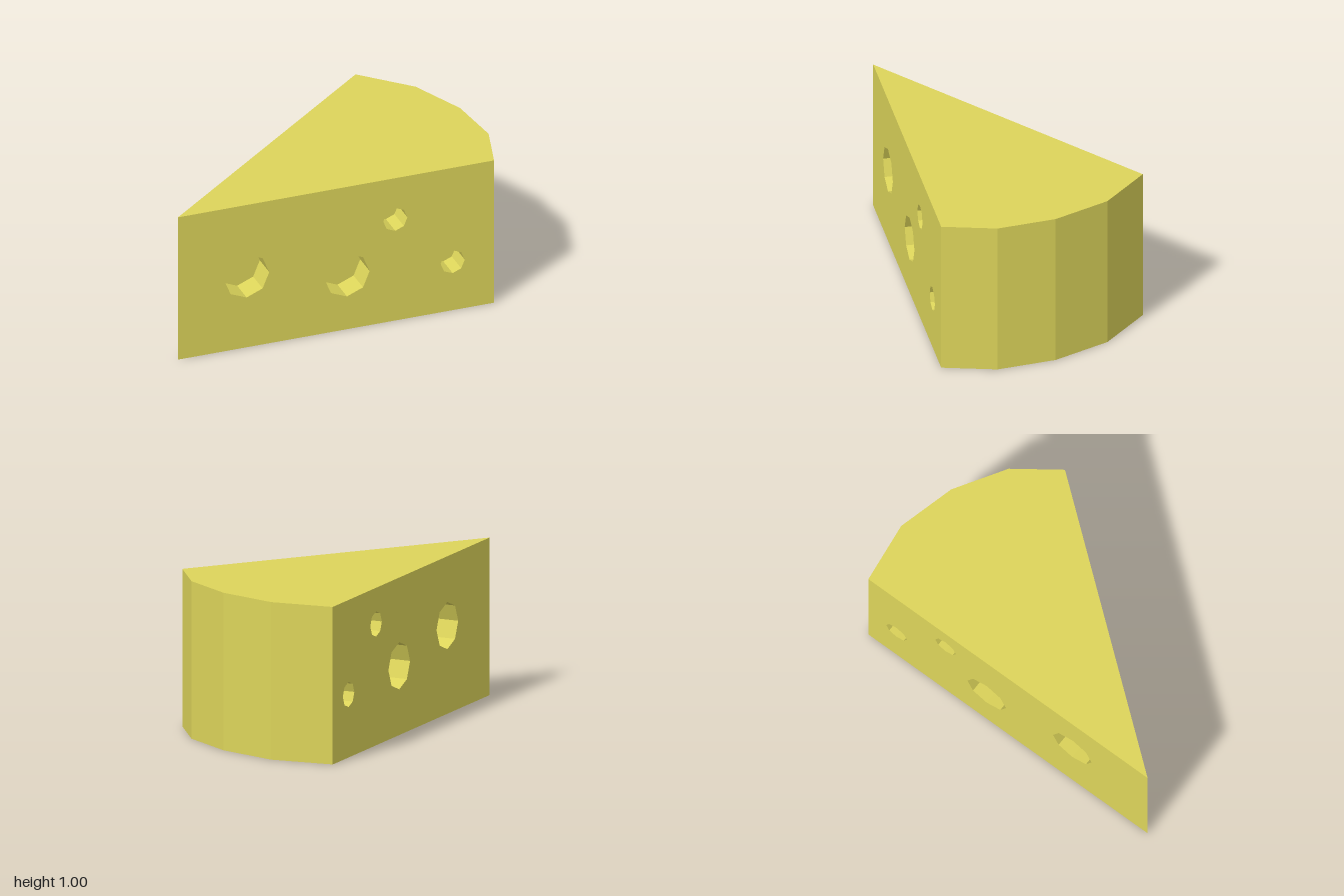
import * as THREE from 'three';

// Wedge outline as [x, z], counter-clockwise from above: tip, cut face, curved rind, cut face
const OUTLINE = [[-0.92, 1], [0.92, 0], [0.84, -0.34], [0.62, -0.65], [0.31, -0.89], [-0.08, -1]];
const HEIGHT = 1;
const POCKET_DEPTH = 0.165;

// Holes as [distance from tip, height, radius]
const HOLES = [[0.455, 0.5, 0.15], [1.12, 0.38, 0.15], [1.44, 0.71, 0.08], [1.82, 0.34, 0.08]];

export function createModel() {
  const cheese = new THREE.MeshStandardMaterial({ color: 0xdcd45a, flatShading: true });
  cheese.name = 'cheese yellow';
  const model = new THREE.Group();
  model.name = 'cheeseWedge';

  const add = (parent, geometry, name) => {
    const mesh = new THREE.Mesh(geometry, cheese);
    mesh.name = name;
    parent.add(mesh);
    return mesh;
  };

  // Upright wall from p to q, facing outward, with eight-sided pockets sunk into it
  const addWall = (p, q, holes, name) => {
    const dx = q[0] - p[0], dz = q[1] - p[1], length = Math.hypot(dx, dz);
    const wall = new THREE.Group();
    wall.name = name;
    wall.position.set(p[0], 0, p[1]);
    wall.rotation.y = Math.atan2(-dz, dx);
    model.add(wall);

    const shape = new THREE.Shape([[0, 0], [length, 0], [length, HEIGHT], [0, HEIGHT]]
      .map(([x, y]) => new THREE.Vector2(x, y)));
    for (const [x, y, r] of holes) {
      const rim = [];
      for (let i = 0; i < 8; i++) {
        const a = -i * Math.PI / 4;
        rim.push(new THREE.Vector2(x + r * Math.cos(a), y + r * Math.sin(a)));
      }
      shape.holes.push(new THREE.Path(rim));

      // Pocket sides are mirrored so that they face inward
      const sides = new THREE.CylinderGeometry(r, r, POCKET_DEPTH, 8, 1, true)
        .rotateX(Math.PI / 2).scale(-1, 1, 1).toNonIndexed();
      sides.computeVertexNormals();
      add(wall, sides, 'pocketSides').position.set(x, y, -POCKET_DEPTH / 2);
      add(wall, new THREE.CircleGeometry(r, 8), 'pocketFloor').position.set(x, y, -POCKET_DEPTH);
    }
    add(wall, new THREE.ShapeGeometry(shape), name + 'Face');
  };

  // Walls: the far cut face repeats the holes, shifted outward and up
  const last = OUTLINE.length - 1;
  const [tip, end] = [OUTLINE[0], OUTLINE[last]];
  const farLength = Math.hypot(tip[0] - end[0], tip[1] - end[1]);
  const farHoles = HOLES.map(([s, y, r]) => [farLength - s - 0.13, y + 0.06, r]);
  OUTLINE.forEach((p, i) => {
    const q = OUTLINE[(i + 1) % OUTLINE.length];
    if (i === 0) addWall(p, q, HOLES, 'frontCut');
    else if (i === last) addWall(p, q, farHoles, 'backCut');
    else addWall(p, q, [], 'rind' + i);
  });

  // Flat top and bottom
  const cap = (sign) => new THREE.ShapeGeometry(
    new THREE.Shape(OUTLINE.map(([x, z]) => new THREE.Vector2(x, -sign * z))))
    .rotateX(-sign * Math.PI / 2);
  add(model, cap(1), 'top').position.y = HEIGHT;
  add(model, cap(-1), 'bottom');

  return model;
}
